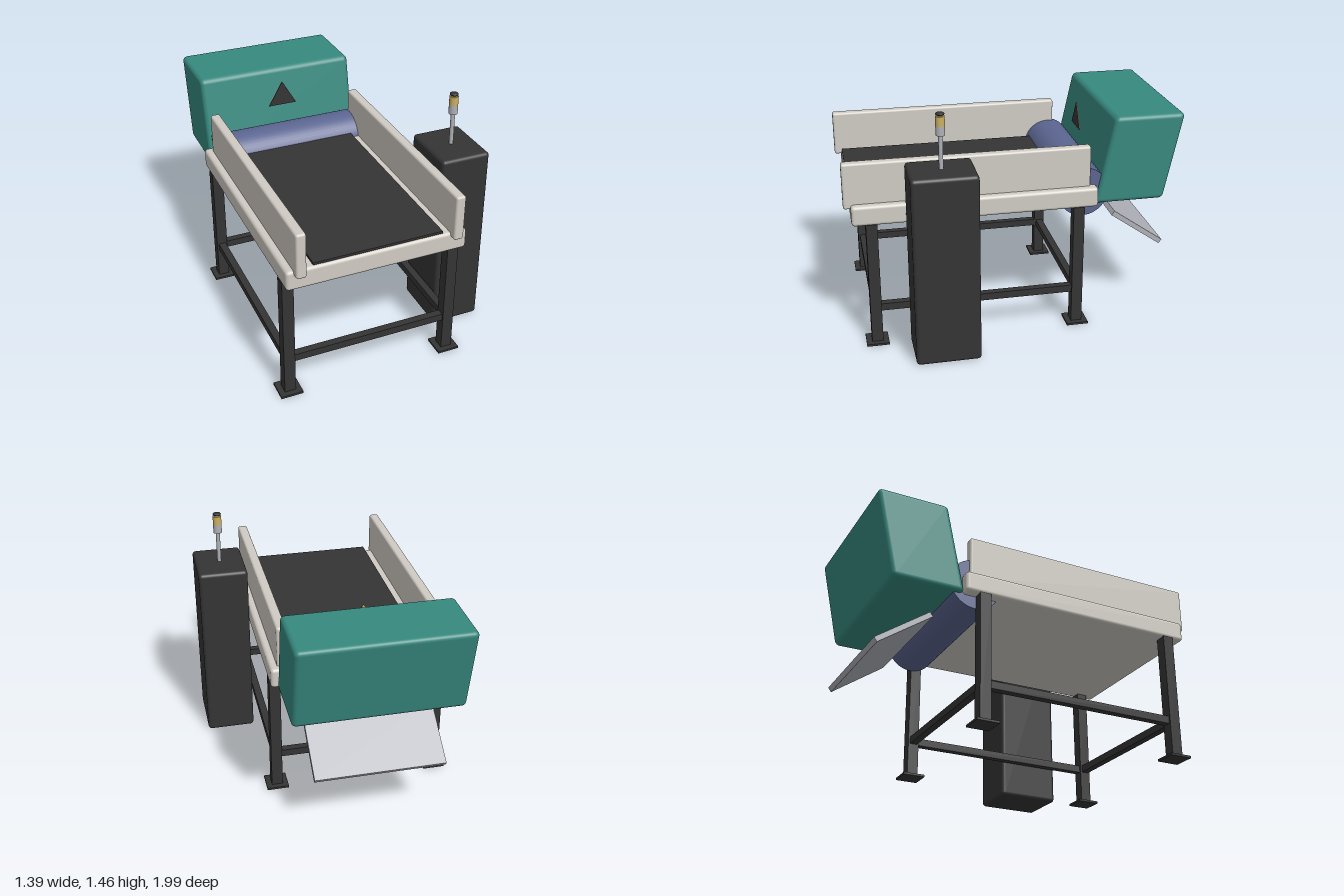
import * as THREE from 'three';
import { RoundedBoxGeometry } from 'three/addons/geometries/RoundedBoxGeometry.js';

const mat = (name, color) => {
  const m = new THREE.MeshStandardMaterial({ color });
  m.name = name;
  return m;
};

export function createModel() {
  const group = new THREE.Group();
  const cream = mat('cream panel', 0xd0ccc4);
  const teal = mat('teal hood', 0x37897f);
  const dark = mat('charcoal', 0x343434);
  const blue = mat('slate blue', 0x5b6590);
  const steel = mat('steel', 0xb0b1b8);
  const amber = mat('amber', 0xcbb062);

  const add = (name, geometry, material, x, y, z) => {
    const mesh = new THREE.Mesh(geometry, material);
    mesh.name = name;
    mesh.position.set(x, y, z);
    group.add(mesh);
    return mesh;
  };
  // Boxes given by their limits on each axis
  const span = (name, material, [x0, x1], [y0, y1], [z0, z1], radius = 0) => {
    const size = [x1 - x0, y1 - y0, z1 - z0];
    const geometry = radius
      ? new RoundedBoxGeometry(...size, 4, radius)
      : new THREE.BoxGeometry(...size);
    return add(name, geometry, material, (x0 + x1) / 2, (y0 + y1) / 2, (z0 + z1) / 2);
  };

  const midX = -0.138; // centre line of the conveyor

  // Conveyor bed, belt and side guards
  span('bed', cream, [-0.665, 0.39], [0.76, 0.88], [-0.477, 0.96], 0.02);
  span('belt', dark, [-0.515, 0.24], [0.89, 0.904], [-0.4, 0.957]);
  for (const side of [-1, 1]) {
    const x = midX + side * 0.456;
    span('sideGuard', cream, [x - 0.029, x + 0.029], [0.852, 1.124], [-0.437, 1.0], 0.014);
  }

  // Drum across the rear end
  const drum = add('drum', new THREE.CylinderGeometry(0.15, 0.15, 0.93, 48), blue, midX, 0.837, -0.4);
  drum.rotation.z = Math.PI / 2;

  // Hood: a rounded box sheared backwards
  const hoodGeometry = new RoundedBoxGeometry(0.98, 0.528, 0.42, 4, 0.028);
  hoodGeometry.applyMatrix4(new THREE.Matrix4().set(
    1, 0, 0, 0,
    0, 1, 0, 0,
    0, -0.208, 1, 0,
    0, 0, 0, 1,
  ));
  add('hood', hoodGeometry, teal, midX, 1.026, -0.735);

  // Warning triangle: dark face on an amber backing
  const triangle = new THREE.Shape([
    new THREE.Vector2(-0.09, 1.088),
    new THREE.Vector2(0.09, 1.088),
    new THREE.Vector2(0, 1.243),
  ]);
  const plate = new THREE.ExtrudeGeometry(triangle, { depth: 0.003, bevelEnabled: false });
  add('warningTriangle', plate, dark, midX, 0, -0.477);
  add('warningBacking', plate, amber, midX, 0, -0.48);

  // Legs with foot plates
  const legX = [-0.631, 0.356];
  const legZ = [-0.362, 0.85];
  for (const x of legX) {
    for (const z of legZ) {
      span('leg', dark, [x - 0.033, x + 0.033], [0, 0.765], [z - 0.033, z + 0.033]);
      span('footPlate', dark, [x - 0.066, x + 0.066], [0, 0.013], [z - 0.066, z + 0.066]);
    }
  }

  // Stretchers between the legs
  const barY = [0.208, 0.252];
  for (const z of legZ) span('crossBar', dark, legX, barY, [z - 0.022, z + 0.022]);
  for (const x of legX) span('sideBar', dark, [x - 0.022, x + 0.022], barY, legZ);

  // Sloping discharge chute
  const chute = add('chute', new THREE.BoxGeometry(0.755, 0.031, 0.383), steel, midX, 0.532, -0.776);
  chute.rotation.x = -0.61;

  // Control cabinet
  span('cabinet', dark, [0.392, 0.692], [0, 1.135], [0.28, 0.655], 0.022);

  // Signal light on its pole
  const cylinder = (name, material, r, y0, y1) =>
    add(name, new THREE.CylinderGeometry(r, r, y1 - y0, 24), material, 0.542, (y0 + y1) / 2, 0.468);
  cylinder('signalPole', steel, 0.0125, 1.125, 1.33);
  cylinder('signalBase', steel, 0.026, 1.328, 1.381);
  cylinder('signalLamp', amber, 0.026, 1.381, 1.436);
  cylinder('signalNeck', amber, 0.018, 1.436, 1.444);
  const cap = add('signalCap', new THREE.SphereGeometry(0.025, 24, 12), dark, 0.542, 1.448, 0.468);
  cap.scale.y = 0.4;

  return group;
}
